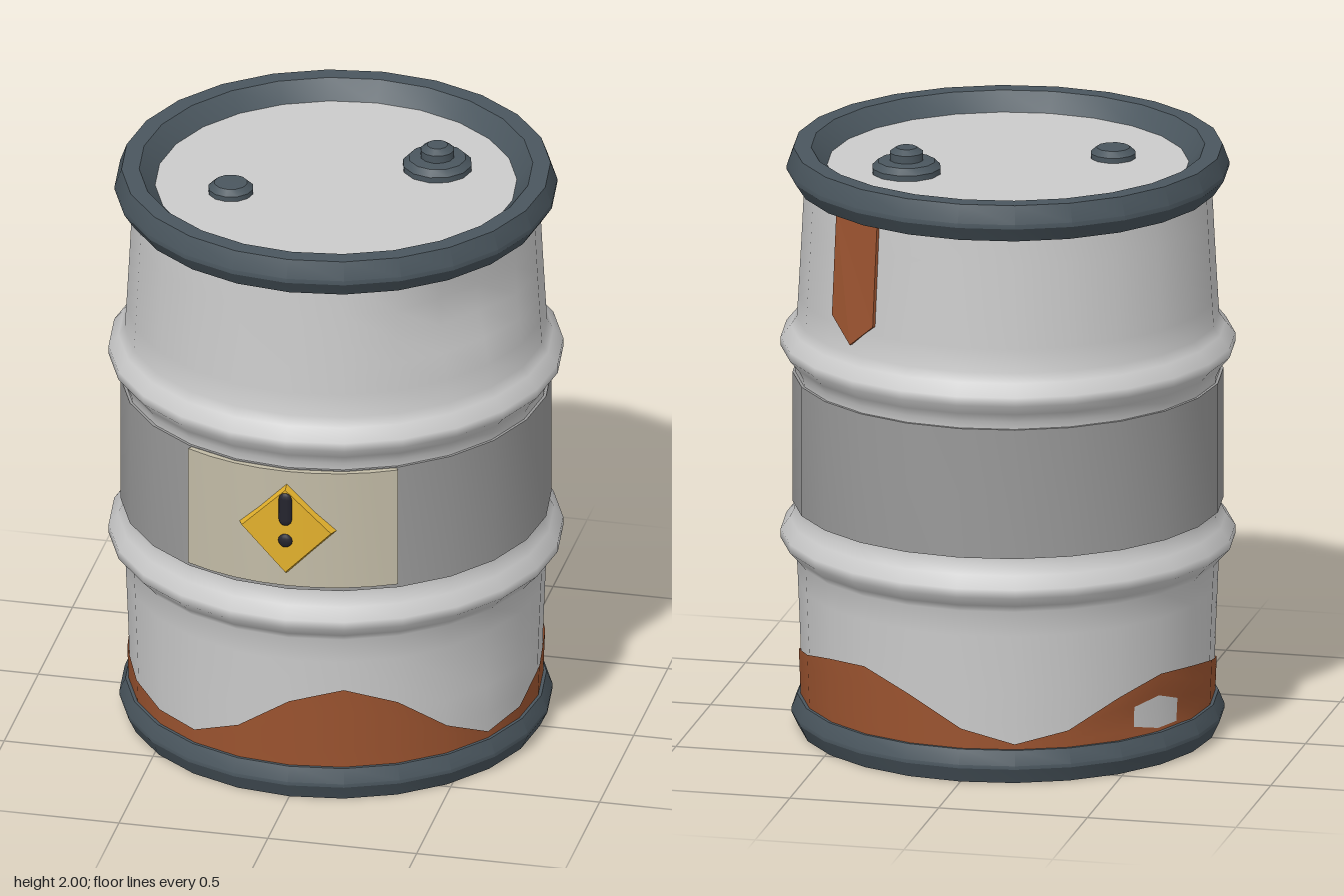
import * as THREE from 'three';
import { mergeVertices, toCreasedNormals } from 'three/addons/utils/BufferGeometryUtils.js';

const SIDES = 24;
const mat = (color, side = THREE.FrontSide) => new THREE.MeshStandardMaterial({ color, side });

// Revolve [radius, y] pairs around the y axis
const lathe = (pts, segs = SIDES, start = 0, sweep = Math.PI * 2) =>
  new THREE.LatheGeometry(pts.map(([r, y]) => new THREE.Vector2(r, y)), segs, start, sweep);

// Move every vertex by a rule
function deform(geo, rule) {
  const p = geo.attributes.position, v = new THREE.Vector3();
  for (let i = 0; i < p.count; i++) {
    rule(v.fromBufferAttribute(p, i));
    p.setXYZ(i, v.x, v.y, v.z);
  }
  return geo;
}

// Smooth normals without a seam
function smooth(geo) {
  geo.deleteAttribute('uv');
  geo.deleteAttribute('normal');
  geo = mergeVertices(geo, 1e-4);
  geo.computeVertexNormals();
  return geo;
}

export function createModel() {
  const model = new THREE.Group();
  model.name = 'barrel';
  const steel = mat(0x4a565e), grey = mat(0xcccccc), dark = mat(0x24242e);
  const rustMat = mat(0x9c5430, THREE.DoubleSide);

  const add = (name, geo, material, x = 0, y = 0, z = 0) => {
    const m = new THREE.Mesh(geo, material);
    m.name = name;
    m.position.set(x, y, z);
    model.add(m);
    return m;
  };

  // Body wall with two rolled ridges and shallow dents
  const wall = [
    [0.672, 0.08], [0.677, 0.2], [0.68, 0.3], [0.684, 0.4], [0.688, 0.5], [0.692, 0.585],
    [0.712, 0.61], [0.745, 0.645], [0.745, 0.675], [0.715, 0.715], [0.7, 0.745], [0.695, 0.78],
    [0.695, 1.2], [0.7, 1.235], [0.715, 1.265], [0.745, 1.3], [0.745, 1.33], [0.712, 1.37],
    [0.692, 1.4], [0.687, 1.48], [0.682, 1.57], [0.677, 1.66], [0.672, 1.76], [0.666, 1.88],
  ];
  const dents = [ // angle, height, depth, angular spread, vertical spread
    [0.93, 1.7, 0.055, 0.27, 0.14],
    [0.98, 0.42, 0.015, 0.25, 0.1],
  ];
  const body = deform(lathe(wall, SIDES), (v) => {
    const a = Math.atan2(v.x, v.z), r = Math.hypot(v.x, v.z);
    let push = 0;
    for (const [da, dy, depth, sa, sy] of dents)
      push += depth * Math.exp(-(((a - da) / sa) ** 2) - ((v.y - dy) / sy) ** 2);
    v.x *= (r - push) / r;
    v.z *= (r - push) / r;
  });
  add('body', smooth(body), grey);

  // Lid and underside
  add('lid', new THREE.CircleGeometry(0.63, SIDES).rotateX(-Math.PI / 2), grey, 0, 1.915, 0);
  add('underside', new THREE.CircleGeometry(0.64, SIDES).rotateX(Math.PI / 2), grey, 0, 0.035, 0);

  // Rims
  const topRim = [[0.65, 1.85], [0.692, 1.85], [0.725, 1.9], [0.725, 1.915], [0.703, 1.975],
    [0.645, 1.975], [0.59, 1.912]];
  const bottomRim = [[0.6, 0.04], [0.625, 0], [0.685, 0], [0.71, 0.052], [0.71, 0.064],
    [0.69, 0.112], [0.65, 0.112]];
  add('topRim', toCreasedNormals(lathe(topRim), 0.4), steel);
  add('bottomRim', toCreasedNormals(lathe(bottomRim), 0.4), steel);

  // Painted band around the middle
  add('band', toCreasedNormals(lathe([[0.69, 0.77], [0.706, 0.77], [0.706, 1.21], [0.69, 1.21]]), 0.4),
    mat(0x999999));

  // Curved label plate on the front
  const half = 0.51;
  add('label', toCreasedNormals(lathe([[0.7, 0.79], [0.722, 0.79], [0.722, 1.208], [0.7, 1.208]],
    8, -half, half * 2), 0.4), mat(0xc2bba6, THREE.DoubleSide));

  // Warning diamond, bent to follow the label
  const diamond = new THREE.CylinderGeometry(0.15, 0.166, 0.03, 4, 1).rotateX(Math.PI / 2);
  deform(diamond, (v) => { v.z += Math.sqrt(0.72 ** 2 - v.x * v.x) - 0.72; });
  add('warningDiamond', toCreasedNormals(diamond, 0.4), mat(0xe2b02c), 0, 1, 0.73);
  const bar = new THREE.CapsuleGeometry(0.022, 0.075, 3, 10).scale(1, 1, 0.5);
  add('warningBar', bar, dark, 0, 1.08, 0.744);
  add('warningDot', new THREE.SphereGeometry(0.024, 10, 8).scale(1, 1, 0.5), dark, 0, 0.966, 0.744);

  // Bungs on the lid
  const largeBung = [[0.115, 0], [0.115, 0.022], [0.095, 0.042], [0.056, 0.046], [0.056, 0.072],
    [0.034, 0.088], [0, 0.088]];
  const smallBung = [[0.075, 0], [0.075, 0.02], [0.055, 0.038], [0, 0.04]];
  add('largeBung', toCreasedNormals(lathe(largeBung, 12), 0.6), steel, 0.3, 1.912, -0.177);
  add('smallBung', toCreasedNormals(lathe(smallBung, 12), 0.6), steel, -0.32, 1.912, 0.145);

  // Rust climbing from the bottom rim: top height every 15 degrees, starting at the front
  const heights = [0.35, 0.4, 0.34, 0.215, 0.135, 0.155, 0.22, 0.265, 0.295, 0.33, 0.345, 0.28,
    0.18, 0.13, 0.17, 0.26, 0.31, 0.295, 0.265, 0.225, 0.19, 0.165, 0.16, 0.23];
  const strip = [0, 0.25, 0.5, 0.75, 1].map((t) => [1, t]);
  const rust = deform(lathe(strip), (v) => {
    const a = Math.atan2(v.x, v.z);
    const step = (Math.round(a / (Math.PI / 12)) + SIDES) % SIDES;
    v.y = 0.1 + (heights[step] - 0.1) * v.y;
    // a worn patch sinks below the wall and shows bare metal
    const worn = step === 16 && v.y > 0.14 && v.y < 0.23 ? 0.014 : 0;
    const r = 0.678 + 0.04 * (v.y - 0.08) - worn;
    v.x = r * Math.sin(a);
    v.z = r * Math.cos(a);
  });
  add('baseRust', smooth(rust), rustMat);

  // Rust streak running down from the top rim
  const outline = [[-0.1, 0.43], [-0.1, 0.08], [0, 0], [0.1, 0.08], [0.1, 0.43]];
  const streakShape = new THREE.Shape(outline.map(([x, y]) => new THREE.Vector2(x, y)));
  const streakGeo = new THREE.ExtrudeGeometry(streakShape, { depth: 0.02, bevelEnabled: false });
  // lean with the wall and wrap it
  deform(streakGeo, (v) => { v.z += 0.676 - 0.055 * v.y - v.x * v.x * 0.7; });
  streakGeo.computeVertexNormals();
  add('rustStreak', streakGeo, rustMat, 0, 1.43, 0).rotation.y = THREE.MathUtils.degToRad(145);

  return model;
}
